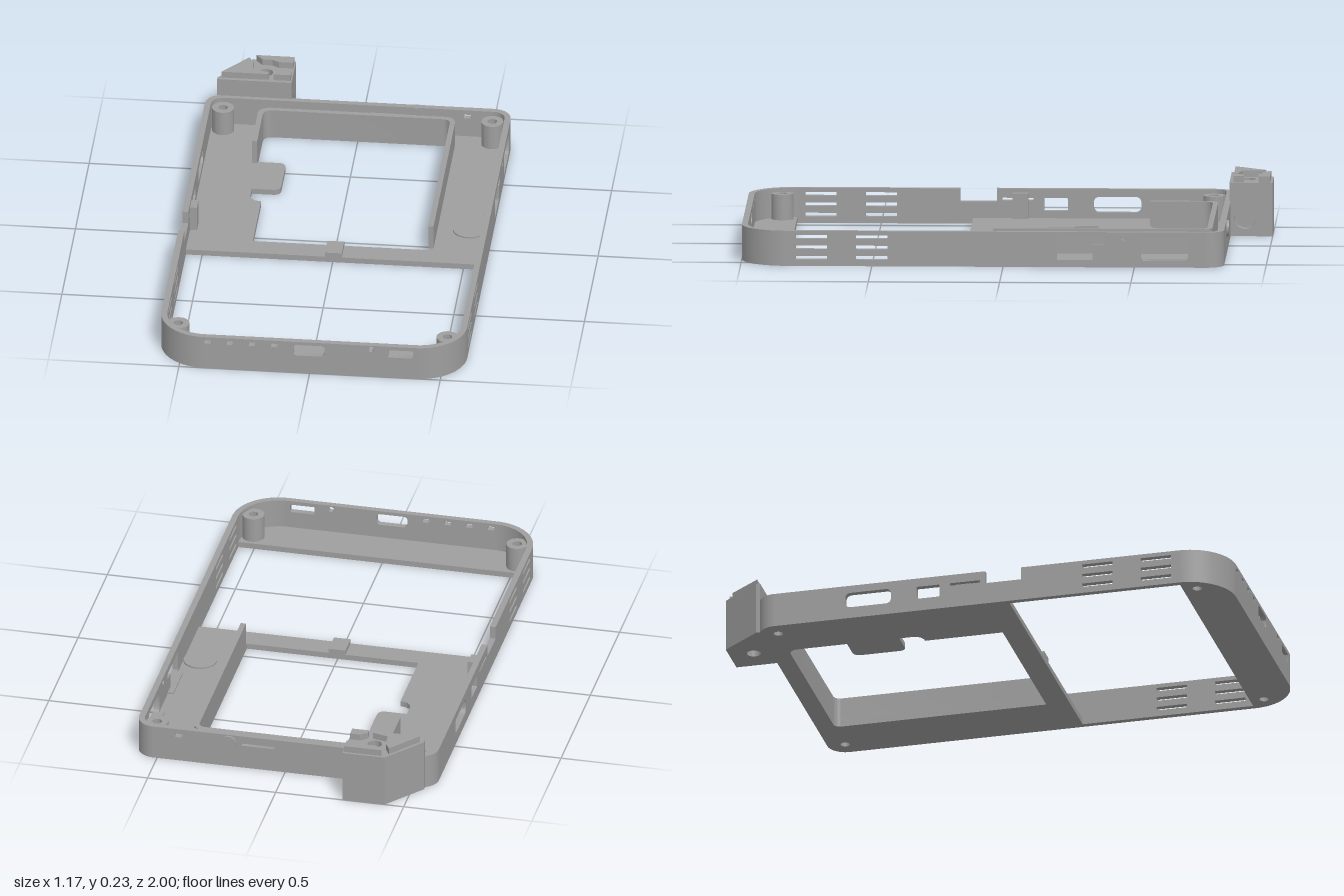
import * as THREE from 'three';
import { toCreasedNormals } from 'three/addons/utils/BufferGeometryUtils.js';

const W = 0.585, BACK = -0.84, FRONT = 1, H = 0.135, T = 0.023, FLOOR = 0.022;
const R_FRONT = 0.18, R_BACK = 0.07;

export function createModel() {
  const model = new THREE.Group();
  const grey = new THREE.MeshStandardMaterial({ color: 0x9e9e9e });
  grey.name = 'matte grey';

  const add = (name, geo) => {
    const m = new THREE.Mesh(geo, grey);
    m.name = name;
    model.add(m);
    return m;
  };
  const poly = pts => new THREE.Shape(pts.map(p => new THREE.Vector2(p[0], p[1])));
  const extrude = (shape, depth) => toCreasedNormals(
    new THREE.ExtrudeGeometry(shape, { depth, bevelEnabled: false, curveSegments: 16 }), 0.5);
  // horizontal plate from a shape drawn in (x, z)
  const slab = (name, shape, y0, h) => add(name, extrude(shape, h).rotateX(Math.PI / 2).translate(0, y0 + h, 0));
  const box = (name, x0, x1, y0, y1, z0, z1) => add(name,
    new THREE.BoxGeometry(x1 - x0, y1 - y0, z1 - z0).translate((x0 + x1) / 2, (y0 + y1) / 2, (z0 + z1) / 2));
  // rounded cut-out
  const cut = (a0, a1, b0, b1, r) => {
    const p = new THREE.Path();
    p.moveTo(a0 + r, b0).lineTo(a1 - r, b0);
    p.absarc(a1 - r, b0 + r, r, -Math.PI / 2, 0);
    p.absarc(a1 - r, b1 - r, r, 0, Math.PI / 2);
    p.absarc(a0 + r, b1 - r, r, Math.PI / 2, Math.PI);
    p.absarc(a0 + r, b0 + r, r, Math.PI, Math.PI * 1.5);
    return p;
  };
  const round = (x, y, r) => new THREE.Path().absarc(x, y, r, 0, Math.PI * 2);

  // Side walls, drawn in (-z, y)
  const u0 = -(FRONT - R_FRONT), u1 = -(BACK + R_BACK);
  const vents = () => {
    const list = [];
    for (const u of [-0.79, -0.56]) for (const y of [0.032, 0.072, 0.112])
      list.push(cut(u, u + 0.12, y - 0.007, y + 0.007, 0.002));
    return list;
  };
  const sideWall = (name, pts, holes, x) => {
    const s = poly(pts);
    s.holes.push(...vents(), ...holes);
    add(name, extrude(s, T).rotateY(Math.PI / 2).translate(x, 0, 0));
  };
  const stepped = new THREE.Path([[0.205, 0.028], [0.34, 0.028], [0.34, 0.085], [0.385, 0.085], [0.385, 0.11], [0.205, 0.11]]
    .map(p => new THREE.Vector2(p[0], p[1])));
  sideWall('leftWall', [[u0, 0], [u1, 0], [u1, H], [u0, H]],
    [stepped, cut(0.525, 0.705, 0.025, 0.11, 0.015), round(0.46, 0.115, 0.012)], W - T);
  sideWall('rightWall', [[u0, 0], [u1, 0], [u1, H], [-0.06, H], [-0.06, 0.085], [-0.2, 0.085], [-0.2, H], [u0, H]],
    [cut(0.31, 0.49, 0.045, 0.105, 0.02), cut(0.12, 0.21, 0.05, 0.1, 0.004), cut(-0.04, 0.08, 0.09, 0.1, 0.004)], -W);

  // End walls, drawn in (x, y)
  const endWall = (name, half, holes, z) => {
    const s = poly([[-half, 0], [half, 0], [half, H], [-half, H]]);
    s.holes.push(...holes);
    add(name, extrude(s, T).translate(0, 0, z));
  };
  const lamps = [-0.39, -0.305, -0.22, -0.135].map(x => cut(x - 0.014, x + 0.014, 0.107, 0.122, 0.006));
  endWall('frontWall', W - R_FRONT, [...lamps, cut(-0.063, 0.058, 0.076, 0.122, 0.015),
    round(0.235, 0.118, 0.011), cut(0.3, 0.395, 0.088, 0.12, 0.002)], FRONT - T);
  endWall('backWall', W - R_BACK, [cut(0.04, 0.17, 0.095, 0.104, 0.003), cut(0.4, 0.43, 0.1, 0.116, 0.005)], BACK);

  // Rounded corners of the wall
  const corner = (name, sx, sz, r) => {
    const cx = sx * (W - r), cz = sz > 0 ? FRONT - r : BACK + r;
    const a = Math.atan2(sz, sx) - Math.PI / 4;
    const s = new THREE.Shape();
    s.absarc(cx, cz, r, a, a + Math.PI / 2, false);
    s.absarc(cx, cz, r - T, a + Math.PI / 2, a, true);
    slab(name, s, 0, H);
  };
  for (const s of [-1, 1]) {
    corner('frontCorner', s, 1, R_FRONT);
    corner('backCorner', s, -1, R_BACK);
  }

  // Floors, set just inside the wall faces
  const e = 0.003, xi = W - e;
  const screws = z => [-0.515, 0.515].map(x => round(x, z, 0.018));
  const backFloor = new THREE.Shape();
  backFloor.moveTo(xi, 0.15).lineTo(-xi, 0.15).lineTo(-xi, BACK + R_BACK);
  backFloor.absarc(-W + R_BACK, BACK + R_BACK, R_BACK - e, Math.PI, Math.PI * 1.5);
  backFloor.absarc(W - R_BACK, BACK + R_BACK, R_BACK - e, -Math.PI / 2, 0);
  const opening = new THREE.Path();
  opening.moveTo(0.355, 0.06).lineTo(-0.315, 0.06).lineTo(-0.315, -0.245);
  opening.quadraticCurveTo(-0.36, -0.245, -0.36, -0.29).lineTo(-0.36, -0.335);
  opening.lineTo(-0.28, -0.335).quadraticCurveTo(-0.25, -0.335, -0.25, -0.365);
  opening.lineTo(-0.25, -0.51).quadraticCurveTo(-0.25, -0.54, -0.28, -0.54);
  opening.lineTo(-0.36, -0.54).lineTo(-0.36, -0.73).quadraticCurveTo(-0.36, -0.77, -0.32, -0.77);
  opening.lineTo(0.325, -0.77).quadraticCurveTo(0.355, -0.77, 0.355, -0.74);
  backFloor.holes.push(opening, ...screws(-0.77));
  slab('backFloor', backFloor, 0, FLOOR);

  const frontFloor = new THREE.Shape();
  frontFloor.moveTo(-xi, 0.82).lineTo(xi, 0.82);
  frontFloor.absarc(W - R_FRONT, FRONT - R_FRONT, R_FRONT - e, 0, Math.PI / 2);
  frontFloor.absarc(-W + R_FRONT, FRONT - R_FRONT, R_FRONT - e, Math.PI / 2, Math.PI);
  frontFloor.holes.push(...screws(0.875));
  slab('frontFloor', frontFloor, 0, FLOOR);

  // Screw posts
  for (const x of [-0.515, 0.515]) for (const z of [-0.77, 0.875]) {
    const s = new THREE.Shape().absarc(x, z, 0.042, 0, Math.PI * 2);
    s.holes.push(round(x, z, 0.018));
    slab('screwPost', s, FLOOR - 0.002, 0.1);
  }

  // Rib that follows the back of the opening
  const rib = new THREE.Shape();
  rib.moveTo(-0.36, -0.53).lineTo(-0.38, -0.53).lineTo(-0.38, -0.74).quadraticCurveTo(-0.38, -0.79, -0.33, -0.79);
  rib.lineTo(0.33, -0.79).quadraticCurveTo(0.375, -0.79, 0.375, -0.74).lineTo(0.375, 0.045).lineTo(0.355, 0.045);
  rib.lineTo(0.355, -0.74).quadraticCurveTo(0.355, -0.77, 0.325, -0.77);
  rib.lineTo(-0.32, -0.77).quadraticCurveTo(-0.36, -0.77, -0.36, -0.73);
  slab('openingRib', rib, FLOOR - 0.004, 0.1);

  // Small fittings on the floor
  box('frontClip', -0.03, 0.035, FLOOR - 0.002, 0.04, 0.06, 0.15);
  box('wallTab', -W + T - 0.005, -0.535, FLOOR - 0.002, 0.12, -0.06, 0);
  box('portLedge', 0.54, W - T + 0.002, FLOOR - 0.002, 0.028, -0.7, -0.54);
  box('portLedge', 0.54, W - T + 0.002, FLOOR - 0.002, 0.028, -0.385, -0.22);
  add('roundSeat', new THREE.CylinderGeometry(0.064, 0.064, 0.008, 32).translate(0.498, FLOOR + 0.002, -0.108));

  // Button on the back wall
  add('backButton', new THREE.CylinderGeometry(0.032, 0.032, 0.034, 24).rotateX(Math.PI / 2).translate(0.22, 0.1, -0.832));

  // Corner block: main body, bored cheek and top pads
  const body = poly([[-0.3, -1], [-0.425, -1], [-0.545, -0.85], [-0.545, -0.835], [-0.3, -0.835]]);
  body.holes.push(round(-0.365, -0.905, 0.027));
  slab('blockBody', body, 0, 0.205);
  const cheek = poly([[0.835, 0], [1, 0], [1, 0.205], [0.835, 0.205]]);
  cheek.holes.push(round(0.895, 0.07, 0.042));
  add('blockCheek', extrude(cheek, 0.04).rotateY(Math.PI / 2).translate(-0.3, 0, 0));
  const pads = [
    [[-0.53, -0.85], [-0.435, -0.97], [-0.415, -0.935], [-0.41, -0.88], [-0.35, -0.865], [-0.35, -0.85]],
    [[-0.41, -0.99], [-0.265, -0.99], [-0.265, -0.945], [-0.32, -0.945], [-0.345, -0.96], [-0.385, -0.96]],
    [[-0.33, -0.85], [-0.33, -0.87], [-0.305, -0.89], [-0.265, -0.89], [-0.265, -0.85]],
  ];
  for (const p of pads) slab('blockPad', poly(p), 0.203, 0.027);

  return model;
}
